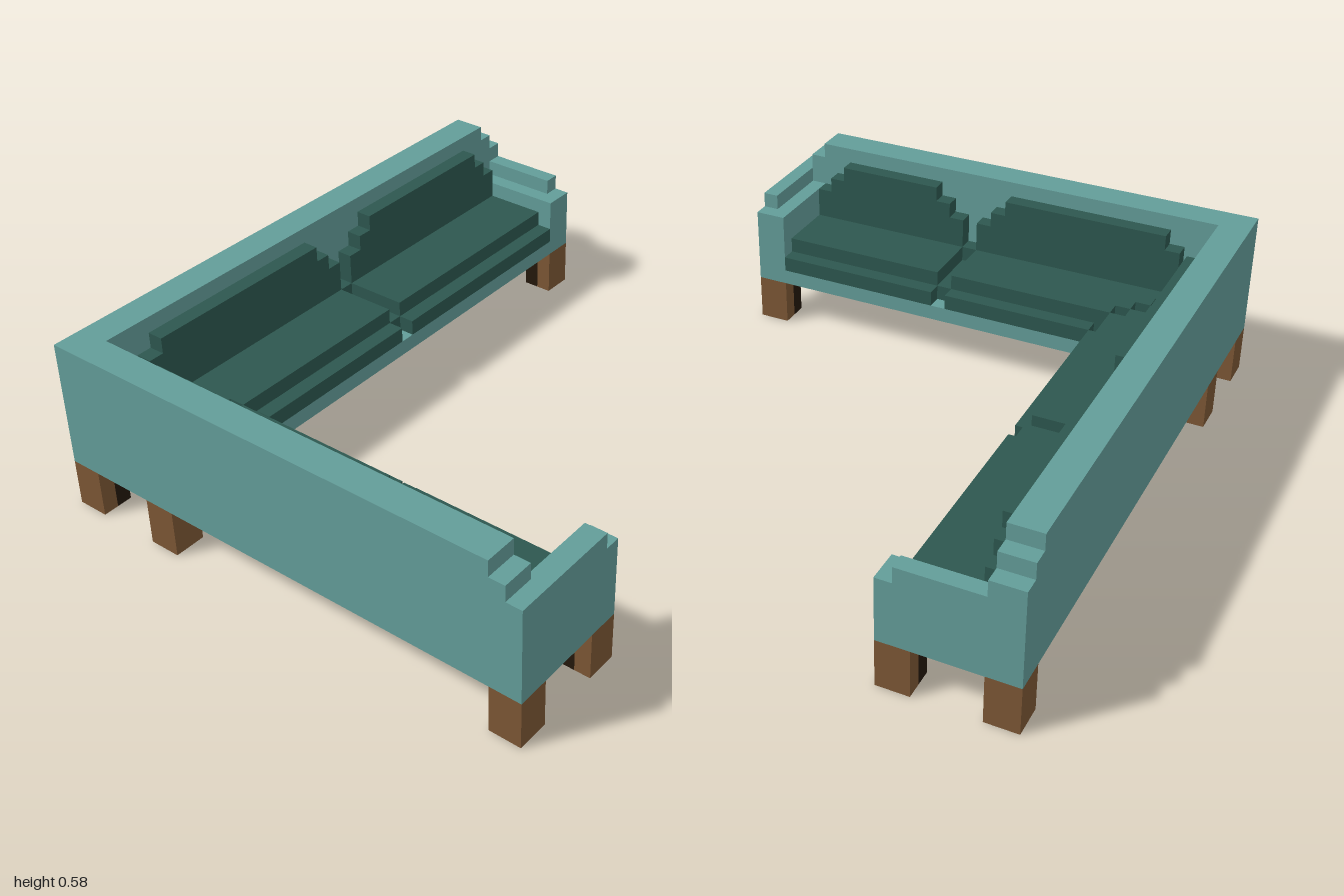
import * as THREE from 'three';

const U = 2 / 38; // grid unit: 38 wide, 11 high, 32 deep

const material = (name, color) => {
  const m = new THREE.MeshStandardMaterial({ color });
  m.name = name;
  return m;
};

export function createModel() {
  const teal = material('teal upholstery', 0x639d99);
  const green = material('dark green cushion', 0x2d574f);
  const brown = material('brown wood', 0x7c5735);
  const dark = material('dark wood', 0x23170b);

  const sofa = new THREE.Group();
  sofa.name = 'cornerSofa';

  const part = (name) => {
    const g = new THREE.Group();
    g.name = name;
    sofa.add(g);
    return g;
  };

  // Box between two grid corners
  const box = (group, mat, x0, y0, z0, x1, y1, z1) => {
    const geo = new THREE.BoxGeometry((x1 - x0) * U, (y1 - y0) * U, (z1 - z0) * U);
    const mesh = new THREE.Mesh(geo, mat);
    mesh.position.set(((x0 + x1) / 2 - 19) * U, ((y0 + y1) / 2) * U, ((z0 + z1) / 2 - 16) * U);
    mesh.name = group.name + 'Block';
    group.add(mesh);
  };

  // Base under both wings
  const base = part('base');
  box(base, teal, 0, 3, 0, 38, 4, 8);
  box(base, teal, 0, 3, 8, 8, 4, 32);

  // Backrests with stepped ends
  const back = part('backrest');
  box(back, teal, 0, 4, 0, 36, 11, 2);
  box(back, teal, 36, 4, 0, 37, 10, 2);
  box(back, teal, 37, 4, 0, 38, 9, 2);
  box(back, teal, 0, 4, 2, 2, 11, 30);
  box(back, teal, 0, 4, 30, 2, 10, 31);
  box(back, teal, 0, 4, 31, 2, 9, 32);

  // Armrests, raised along the outer side
  const leftArm = part('leftArmrest');
  box(leftArm, teal, 36, 4, 2, 38, 7, 8);
  box(leftArm, teal, 37, 7, 2, 38, 8, 7);
  const frontArm = part('frontArmrest');
  box(frontArm, teal, 2, 4, 30, 8, 8, 32);
  box(frontArm, teal, 2, 8, 31, 7, 9, 32);

  // Lower seat layer, with a front lip notched at the seams
  const seat = part('seatCushions');
  box(seat, green, 2, 4, 2, 36, 5, 7);
  box(seat, green, 2, 4, 7, 7, 5, 30);
  for (const [a, b] of [[8, 20], [21, 36]]) box(seat, green, a, 4, 7, b, 5, 8);
  for (const [a, b] of [[8, 18], [19, 30]]) box(seat, green, 7, 4, a, 8, 5, b);

  // Upper seat layer, grooved between cushions
  for (const [a, b] of [[7, 20], [21, 36]]) box(seat, green, a, 5, 3, b, 6, 7);
  for (const [a, b] of [[7, 18], [19, 30]]) box(seat, green, 3, 5, a, 7, 6, b);
  // Corner with a diagonal seam
  box(seat, green, 3, 5, 3, 7, 6, 4);
  for (let k = 4; k < 7; k++) {
    box(seat, green, 3, 5, k, k, 6, k + 1);
    if (k < 6) box(seat, green, k + 1, 5, k, 7, 6, k + 1);
  }

  // Back cushions: runs of [start, end, top]
  const cushions = part('backCushions');
  box(cushions, green, 2, 5, 2, 3, 6, 3);
  const steps = (a, b) => [
    [a, a + 1, 8], [a + 1, a + 2, 9], [a + 2, b - 2, 10], [b - 2, b - 1, 9], [b - 1, b, 8],
  ];
  for (const [a, b, top] of [...steps(3, 20), [20, 21, 6], ...steps(21, 36)])
    box(cushions, green, a, 5, 2, b, top, 3);
  for (const [a, b, top] of [...steps(3, 18), [18, 19, 6], ...steps(19, 30)])
    box(cushions, green, 2, 5, a, 3, top, b);

  // Legs, each with a dark inner corner post
  const corners = [[0, 0], [6, 0], [0, 6], [6, 6], [36, 0], [36, 6], [0, 30], [6, 30]];
  for (const [x, z] of corners) {
    const leg = part('leg');
    const ix = x === 0 ? 1 : 0;
    const iz = z === 0 ? 1 : 0;
    for (let i = 0; i < 2; i++)
      for (let k = 0; k < 2; k++)
        box(leg, i === ix && k === iz ? dark : brown, x + i, 0, z + k, x + i + 1, 3, z + k + 1);
  }

  return sofa;
}
